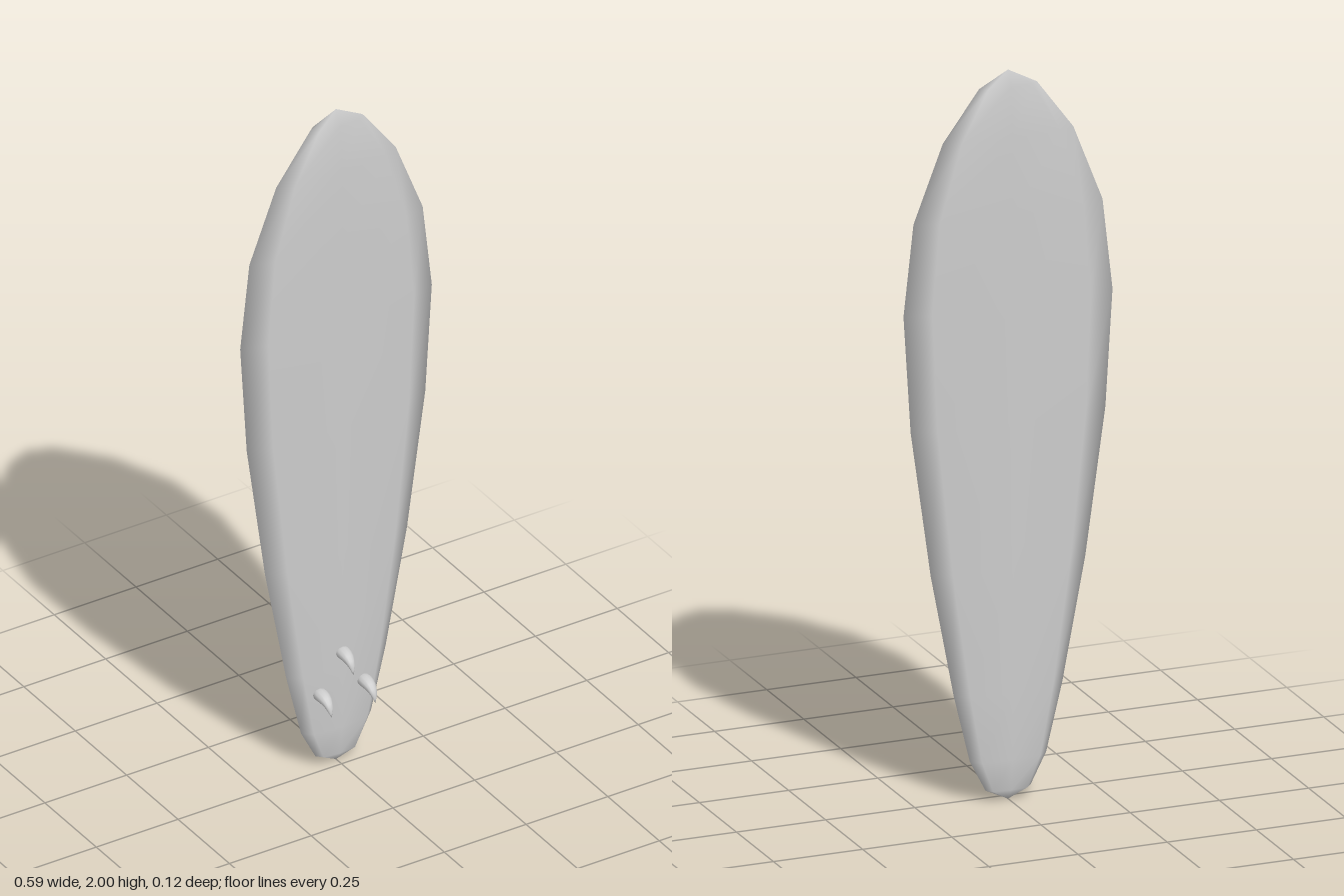
import * as THREE from 'three';

const material = new THREE.MeshStandardMaterial({ color: 0xcccccc });

// Skins a row of equal-sized rings and closes both ends on a point.
function loft(rings, start, end) {
  const n = rings[0].length;
  const points = [...rings.flat(), start, end];
  const first = points.length - 2, last = points.length - 1;
  const index = [];
  for (let j = 0; j < n; j++) {
    const k = (j + 1) % n;
    for (let i = 0; i < rings.length - 1; i++) {
      const a = i * n + j, b = i * n + k;
      index.push(a, a + n, b, b, a + n, b + n);
    }
    const top = (rings.length - 1) * n;
    index.push(first, j, k, top + j, last, top + k);
  }
  const geometry = new THREE.BufferGeometry();
  geometry.setAttribute('position', new THREE.Float32BufferAttribute(points.flat(), 3));
  geometry.setIndex(index);
  geometry.computeVertexNormals();
  return geometry;
}

// Board: stations of [height, half width, thickness factor], tail to nose
function boardGeometry() {
  const midZ = -0.027;
  const stations = [
    [0.03, 0.063, 0.66], [0.115, 0.107, 0.9], [0.30, 0.152, 1], [0.64, 0.217, 1],
    [1.04, 0.273, 1], [1.36, 0.293, 1], [1.61, 0.265, 1], [1.82, 0.183, 0.92], [1.957, 0.081, 0.62],
  ];
  // Sharp rail, flat deck edge and a slight crown
  const section = [
    [1, 0], [0.76, 0.025], [0, 0.033], [-0.76, 0.025],
    [-1, 0], [-0.76, -0.025], [0, -0.033], [0.76, -0.025],
  ];
  const rings = stations.map(([y, w, t]) => section.map(([x, z]) => [x * w, y, midZ + z * t]));
  return loft(rings, [0, 0, midZ], [0, 2, midZ]);
}

// Fin: an oval section swept forward and bent down to a point
function finGeometry() {
  const path = new THREE.CatmullRomCurve3([
    [-0.012, 0.012], [0.015, 0.012], [0.036, 0.006], [0.05, -0.008], [0.058, -0.031],
  ].map(([z, y]) => new THREE.Vector3(0, y, z)));
  const widths = [0.016, 0.0195, 0.02, 0.0185, 0.016, 0.0125, 0.009, 0.0045];
  const sides = 12;
  const rings = widths.map((w, i) => {
    const u = i / widths.length;
    const p = path.getPointAt(u), t = path.getTangentAt(u);
    return Array.from({ length: sides }, (_, j) => {
      const a = (j / sides) * Math.PI * 2;
      const h = -Math.sin(a) * w * 0.82;
      return [Math.cos(a) * w, p.y + t.z * h, p.z - t.y * h];
    });
  });
  return loft(rings, path.getPointAt(0).toArray(), path.getPointAt(1).toArray());
}

export function createModel() {
  const group = new THREE.Group();
  group.name = 'surfboard';

  const board = new THREE.Mesh(boardGeometry(), material);
  board.name = 'board';
  group.add(board);

  // Centre fin with a pair set lower on each side
  const fin = finGeometry();
  for (const [name, x, y] of [
    ['centreFin', 0, 0.335], ['leftFin', 0.067, 0.226], ['rightFin', -0.067, 0.226],
  ]) {
    const mesh = new THREE.Mesh(fin, material);
    mesh.name = name;
    mesh.position.set(x, y, 0);
    group.add(mesh);
  }
  return group;
}
